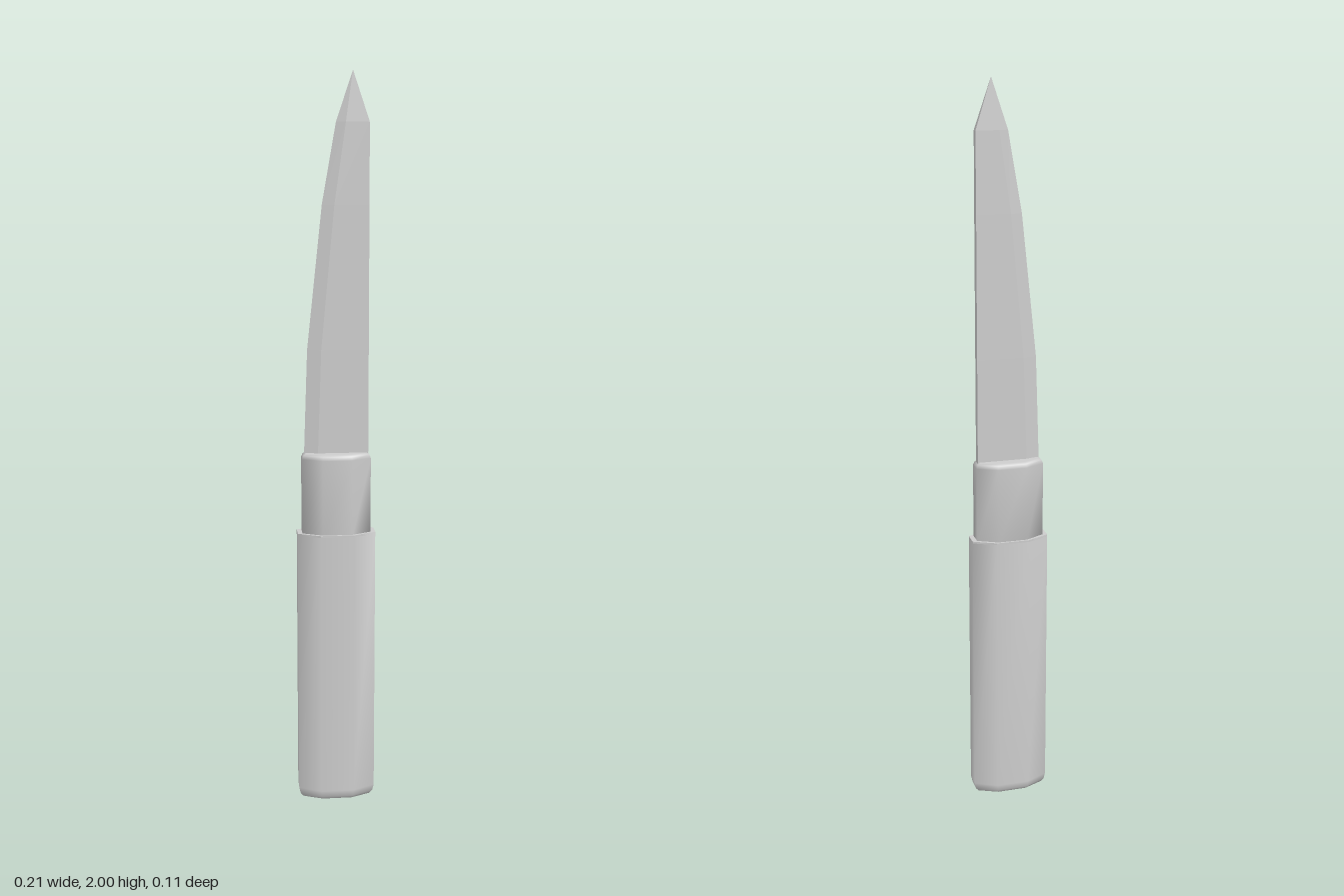
import * as THREE from 'three';

const material = new THREE.MeshStandardMaterial({ color: 0xcccccc });

// Skin a stack of closed rings (each a list of [x, y, z], running +x to +z) and cap both ends.
function loft(name, rings, flat = false) {
  const n = rings[0].length, last = (rings.length - 1) * n;
  const index = [];
  for (let r = 0; r < rings.length - 1; r++) {
    for (let i = 0; i < n; i++) {
      const a = r * n + i, b = r * n + (i + 1) % n;
      index.push(a, a + n, b, b, a + n, b + n);
    }
  }
  for (let i = 1; i < n - 1; i++) {
    index.push(0, i, i + 1, last, last + i + 1, last + i);
  }
  let geometry = new THREE.BufferGeometry();
  geometry.setAttribute('position', new THREE.Float32BufferAttribute(rings.flat(2), 3));
  geometry.setIndex(index);
  if (flat) geometry = geometry.toNonIndexed();
  geometry.computeVertexNormals();
  const mesh = new THREE.Mesh(geometry, material);
  mesh.name = name;
  return mesh;
}

// Stretched octagon: half width w, half depth d, pulled in by an inset.
function octagon(y, w, d, inset = 0) {
  const W = w - inset, D = d - inset, cx = w * 0.43 - inset * 0.4, cz = d * 0.42 - inset * 0.4;
  return [[W, cz], [cx, D], [-cx, D], [-W, cz], [-W, -cz], [-cx, -D], [cx, -D], [W, -cz]]
    .map(([x, z]) => [x, y, z]);
}

// Blade section: thick spine at +x, flat sides, and a bevel ending in a sharp edge at -x.
function bladeSection([y, edge, bevel, spine, t]) {
  return [[spine, y, t], [bevel, y, t], [edge, y, 0], [bevel, y, -t], [spine, y, -t]];
}

export function createModel() {
  const group = new THREE.Group();
  group.name = 'knife';

  // Grip with a rounded butt
  const w = 0.106, d = 0.053;
  group.add(loft('handle', [
    octagon(0, w, d, 0.026),
    octagon(0.006, w, d, 0.012),
    octagon(0.016, w, d, 0.004),
    octagon(0.034, w, d),
    octagon(0.78, w, d),
  ]));

  // Flat shoulder where the grip steps in, kept separate for a crisp rim
  group.add(loft('handleShoulder', [octagon(0.775, w, d), octagon(0.7801, w, d)], true));

  // Narrower collar with a softened top
  group.add(loft('collar', [
    octagon(0.77, 0.093, 0.047),
    octagon(0.986, 0.093, 0.047),
    octagon(0.996, 0.093, 0.047, 0.004),
    octagon(1.0, 0.093, 0.047, 0.011),
  ]));

  // Blade rows: y, edge x, bevel x, spine x, half thickness
  group.add(loft('blade', [
    [0.98, -0.087, -0.05, 0.087, 0.01],
    [1.28, -0.077, -0.04, 0.087, 0.01],
    [1.66, -0.037, -0.005, 0.087, 0.01],
    [1.87, 0.0, 0.025, 0.087, 0.009],
    [2.0, 0.044, 0.044, 0.044, 0],
  ].map(bladeSection), true));

  return group;
}
